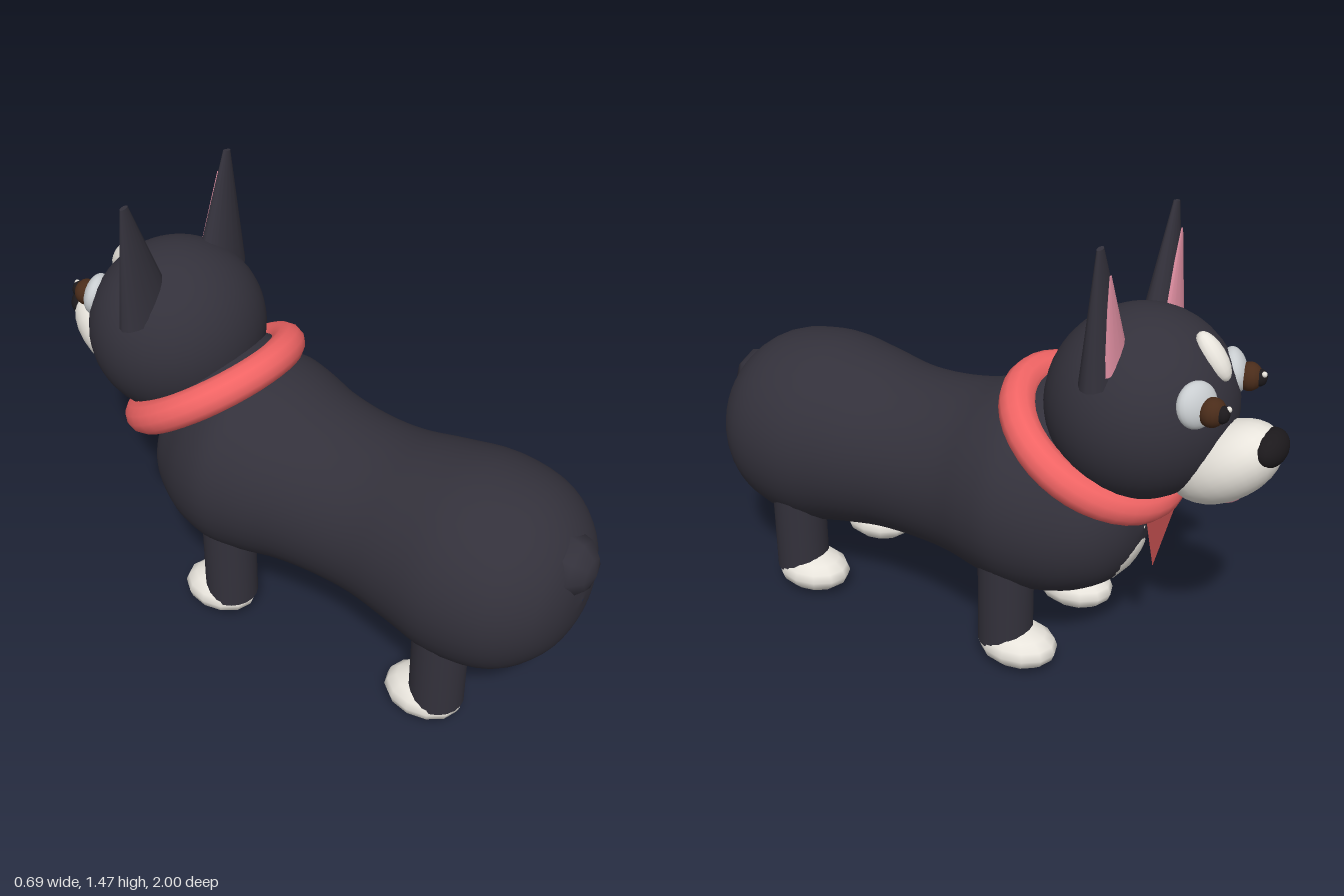
import * as THREE from 'three';
import { mergeVertices } from 'three/addons/utils/BufferGeometryUtils.js';

const mat = (color, side = THREE.FrontSide) =>
  new THREE.MeshStandardMaterial({ color, side });

export function createModel() {
  const dog = new THREE.Group();
  const coat = mat(0x33313b), white = mat(0xe8e4dc), red = mat(0xf06464), pink = mat(0xe08fa2);
  const brown = mat(0x4a2c1a), black = mat(0x1c191c), eyeWhite = mat(0xc9cdd0);

  function add(name, geometry, material, pos, rot = [0, 0, 0], scale = [1, 1, 1]) {
    const m = new THREE.Mesh(geometry, material);
    m.name = name;
    m.position.set(...pos);
    m.rotation.set(...rot);
    m.scale.set(...scale);
    dog.add(m);
    return m;
  }
  const ball = (name, material, pos, radii, rot, w = 24, h = 16) =>
    add(name, new THREE.SphereGeometry(1, w, h), material, pos, rot, radii);

  // Body: round sections swept along z, stations are [z, top, bottom]
  const stations = [
    [0.97, 0.545, 0.535], [0.955, 0.65, 0.43], [0.91, 0.745, 0.335], [0.8, 0.835, 0.24],
    [0.62, 0.87, 0.205], [0.45, 0.85, 0.235], [0.3, 0.825, 0.26], [0.15, 0.825, 0.265],
    [0, 0.85, 0.258], [-0.12, 0.89, 0.238], [-0.22, 0.905, 0.225], [-0.33, 0.86, 0.235],
    [-0.42, 0.79, 0.262], [-0.51, 0.71, 0.32], [-0.565, 0.62, 0.41], [-0.585, 0.515, 0.505],
  ];
  const spine = new THREE.CatmullRomCurve3(
    stations.map(([z, t, b]) => new THREE.Vector3(z, (t + b) / 2, (t - b) / 2)));
  let body = new THREE.CylinderGeometry(1, 1, 1, 40, 60, true).rotateX(Math.PI / 2);
  body.deleteAttribute('uv');
  body.deleteAttribute('normal');
  const p = body.attributes.position;
  for (let i = 0; i < p.count; i++) {
    const s = spine.getPoint(THREE.MathUtils.clamp(0.5 - p.getZ(i), 0, 1));
    p.setXYZ(i, p.getX(i) * s.z * 1.02, s.y + p.getY(i) * s.z, s.x);
  }
  body = mergeVertices(body);
  body.computeVertexNormals();
  add('body', body, coat, [0, 0, 0]);

  ball('tail', coat, [0, 0.65, 0.895], [0.107, 0.104, 0.105], [Math.PI / 2, 0, 0], 8, 6);
  ball('chestPatch', white, [0, 0.395, -0.485], [0.13, 0.13, 0.07], [-0.6, 0, 0], 16, 10);

  // Neck, collar and bandana share the tilt of the collar
  const tilt = 1.013;
  ball('neck', coat, [0, 0.78, -0.405], [0.25, 0.25, 0.1], [tilt, 0, 0]);
  add('collar', new THREE.TorusGeometry(0.268, 0.057, 12, 40), red, [0, 0.78, -0.405], [tilt, 0, 0]);
  add('bandana', new THREE.ConeGeometry(1, 0.26, 4), red, [0, 0.51, -0.63],
    [Math.PI - 0.08, 0, 0], [0.125, 1, 0.045]);

  // Head and face
  ball('head', coat, [0, 0.935, -0.55], [0.3, 0.29, 0.284], [0, 0, 0], 36, 24);
  ball('muzzle', white, [0, 0.81, -0.825], [0.13, 0.112, 0.185], [0.65, 0, 0]);
  ball('nose', black, [0, 0.89, -0.95], [0.08, 0.055, 0.05]);
  ball('tongue', pink, [0, 0.705, -0.835], [0.05, 0.018, 0.05], [0.2, 0, 0], 16, 10);
  ball('blaze', white, [0, 1.125, -0.76], [0.04, 0.08, 0.035], [0.65, 0, 0], 16, 10);

  for (const s of [-1, 1]) {
    const side = s > 0 ? 'left' : 'right';

    // Eyes
    ball(side + 'EyePatch', eyeWhite, [s * 0.135, 1.035, -0.775], [0.07, 0.068, 0.038], [0.25, -s * 0.4, 0]);
    ball(side + 'Iris', brown, [s * 0.135, 1.025, -0.822], [0.043, 0.043, 0.038], [0, -s * 0.3, 0], 16, 12);
    ball(side + 'Pupil', black, [s * 0.138, 1.027, -0.853], [0.024, 0.026, 0.021], [0, 0, 0], 12, 8);
    ball(side + 'EyeGlint', white, [s * 0.13, 1.043, -0.867], [0.009, 0.009, 0.009], [0, 0, 0], 8, 6);

    // Ears: flattened cones with a small blunt tip, leaning outwards
    add(side + 'Ear', new THREE.CylinderGeometry(0.14, 1, 0.39, 16), coat,
      [s * 0.212, 1.276, -0.514], [0, 0, -s * 0.145], [0.112, 1, 0.057]);
    add(side + 'InnerEar', new THREE.CylinderGeometry(0.08, 1, 0.28, 12), pink,
      [s * 0.208, 1.255, -0.546], [0.03, 0, -s * 0.145], [0.07, 1, 0.02]);

    // Legs and paws
    for (const [end, z] of [['Front', -0.21], ['Hind', 0.615]]) {
      add(side + end + 'Leg', new THREE.CylinderGeometry(0.089, 0.089, 0.34, 20), coat, [s * 0.195, 0.25, z]);
      ball(side + end + 'Paw', white, [s * 0.195, 0.073, z - 0.046], [0.105, 0.067, 0.134], [0, 0, 0], 12, 8);
    }
  }
  return dog;
}
